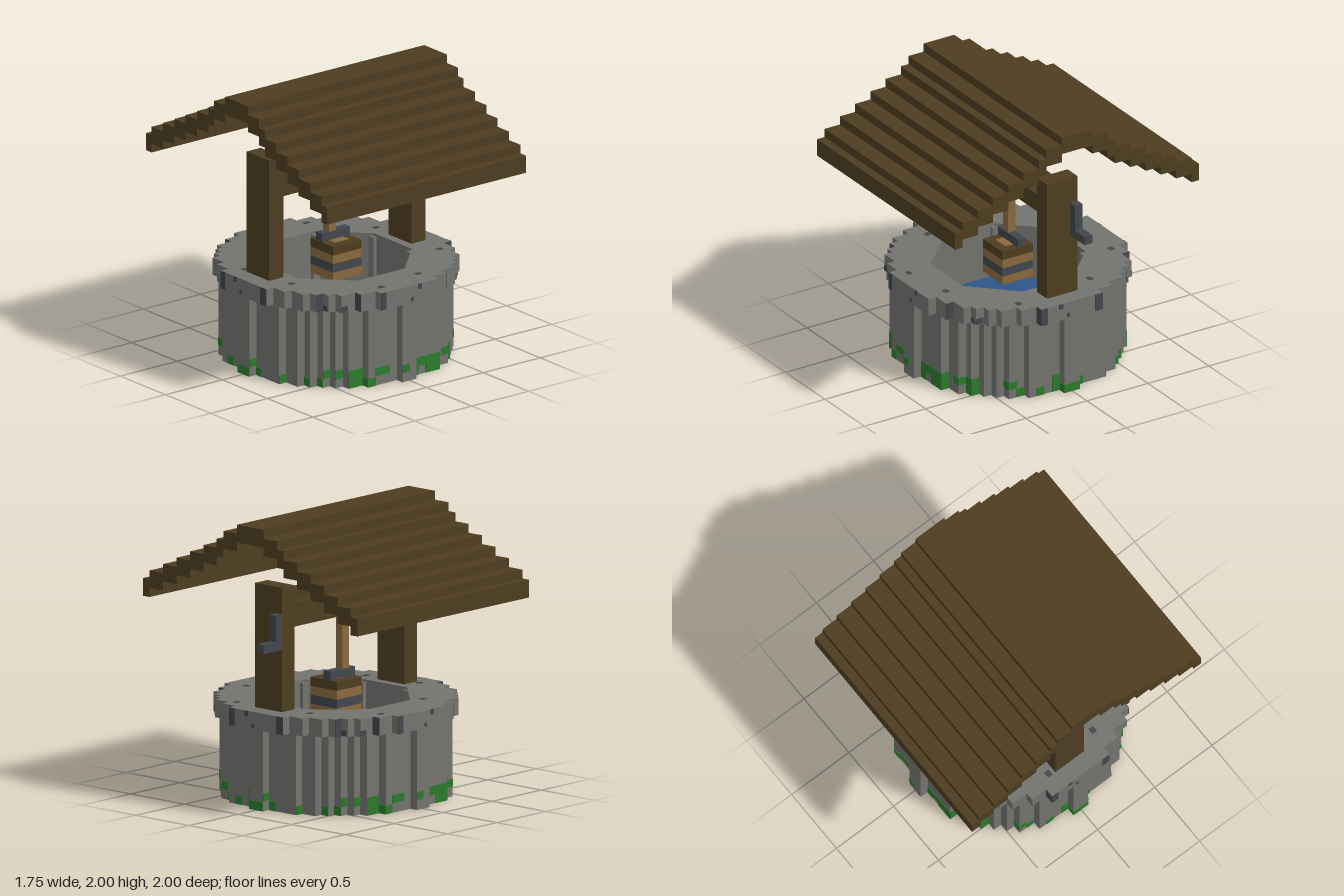
import * as THREE from 'three';

const U = 0.0625; // one block unit

const mat = (name, color) => {
  const m = new THREE.MeshStandardMaterial({ color });
  m.name = name;
  return m;
};

export function createModel() {
  const root = new THREE.Group();
  root.name = 'well';
  const wood = mat('darkWood', 0x4e3e21);
  const tan = mat('lightWood', 0x8a6a3e);
  const slate = mat('slate', 0x43474c);
  const stone = mat('stone', 0x73746f);
  const moss = mat('moss', 0x2c7a2c);
  const blue = mat('water', 0x2f5588);

  const group = (name) => {
    const g = new THREE.Group();
    g.name = name;
    root.add(g);
    return g;
  };
  // Box given by its ranges in block units
  const box = (parent, name, m, x0, x1, y0, y1, z0, z1) => {
    const mesh = new THREE.Mesh(new THREE.BoxGeometry((x1 - x0) * U, (y1 - y0) * U, (z1 - z0) * U), m);
    mesh.position.set((x0 + x1) * U / 2, (y0 + y1) * U / 2, (z0 + z1) * U / 2);
    mesh.name = name;
    parent.add(mesh);
    return mesh;
  };

  // How far a block circle reaches in the column starting at u
  const reach = (u, r2) => {
    const c = Math.floor(u) + 0.5;
    return Math.floor(Math.sqrt(r2 - c * c) + 0.5);
  };
  const WALL = 157, RIM = 169;

  // Octagonal opening, flat sides towards the axes
  const octagon = (apothem) => {
    const pts = [];
    for (let i = 0; i < 8; i++) {
      const a = (i + 0.5) * Math.PI / 4, r = apothem / Math.cos(Math.PI / 8);
      pts.push(new THREE.Vector2(Math.cos(a) * r * U, Math.sin(a) * r * U));
    }
    return pts;
  };
  const prism = (name, m, shape, y0, y1) => {
    const geo = new THREE.ExtrudeGeometry(shape, { depth: (y1 - y0) * U, bevelEnabled: false });
    geo.rotateX(-Math.PI / 2);
    const mesh = new THREE.Mesh(geo, m);
    mesh.position.y = y0 * U;
    mesh.name = name;
    root.add(mesh);
  };
  // Ring with a stepped outside
  const ring = (name, r2, y0, y1) => {
    const pts = [];
    const add = (x, y) => {
      const last = pts[pts.length - 1];
      if (!last || last.x !== x * U || last.y !== y * U) pts.push(new THREE.Vector2(x * U, y * U));
    };
    for (let u = -13; u < 13; u++) {
      add(u, -reach(u, r2));
      add(u + 1, -reach(u, r2));
    }
    for (let u = 12; u >= -13; u--) {
      add(u + 1, reach(u, r2));
      add(u, reach(u, r2));
    }
    const shape = new THREE.Shape(pts);
    shape.holes.push(new THREE.Path(octagon(8)));
    prism(name, stone, shape, y0, y1);
  };
  ring('wall', WALL, 0, 9);
  ring('rim', RIM, 9, 11);
  prism('water', blue, new THREE.Shape(octagon(8)), 0.03, 4.6);

  // Small posts in the inner corners
  const corners = group('innerPosts');
  octagon(8).forEach((p) => {
    const x = p.x / U, z = p.y / U;
    box(corners, 'innerPost', stone, x - 0.45, x + 0.45, 0.02, 10.7, z - 0.45, z + 0.45);
  });

  // Painted patches: [start, end, bottom, top] along each side
  const paint = (name, m, r2, turn, patches) => {
    const g = group(name);
    g.rotation.y = turn * Math.PI / 2;
    for (const [a, b, y0, y1] of patches) {
      for (let u = Math.floor(a); u < b; u++) {
        const d = reach(u, r2);
        box(g, 'patch', m, Math.max(a, u), Math.min(b, u + 1), y0, y1, d - 0.02, d + 0.06);
      }
    }
  };
  const mossFront = [[-13, -12, 1.1, 2], [-12, -11, 0, 1], [-9, -5, 1, 2], [-7, -4, 0, 1], [-4, -2, 1.1, 2],
    [-1, 0, 1.1, 2], [1, 5, 1, 2], [1, 2, 0, 1], [3, 5, 0, 1], [6, 8, 1.1, 2], [7, 8, 0, 1], [10, 11, 1.1, 2],
    [12, 13, 0, 1]];
  const mossRight = [[-12, -9, 1.1, 2], [-12, -11, 0, 1.1], [-10, -9, 0, 1.1], [-7, -6, 1.1, 2], [-6, -5, 0, 1],
    [-4, -3, 0, 1], [-2, -1, 0, 2], [-1, 2, 0, 1], [7, 9, 0, 1], [11, 12, 0, 1]];
  const slateFront = [[-10, -9, 9, 11], [-8, -7.1, 9.05, 9.7], [-4, -3.3, 9, 11], [0.2, 0.6, 9.2, 9.6],
    [1.2, 1.7, 10.4, 11], [8, 8.8, 9.1, 9.7], [12, 13, 9, 11]];
  const slateRight = [[-12, -11, 9, 11], [-10, -9.1, 9.1, 9.8], [-4, -3.2, 9, 11], [-1.7, -1.2, 10.4, 11],
    [-0.7, -0.3, 9.2, 9.7], [3, 4, 9, 11], [9, 9.8, 9.1, 9.7], [11, 12, 9, 11]];
  for (const t of [0, 1, 2, 3]) {
    paint('moss', moss, WALL, t, t % 2 ? mossRight : mossFront);
    paint('slateStones', slate, RIM, t, t % 2 ? slateRight : slateFront);
  }
  // Specks on top of the rim
  const specks = group('rimSpecks');
  for (const [x, z] of [[-10, 4], [-3, 11], [3, 10], [10, 5], [9, -5], [4, -11], [-5, -9], [-11, -3]])
    box(specks, 'speck', slate, x, x + 0.7, 10.98, 11.05, z, z + 0.6);

  // Posts and axle
  for (const s of [-1, 1]) box(root, 'post', wood, s * 10 - 1, s * 10 + 1, 11, 25, -2, 2);
  const axle = group('axle');
  box(axle, 'axleFlat', wood, -9, 9, 21, 23, -2, 2);
  box(axle, 'axleTall', wood, -9, 9, 20, 24, -1, 1);

  // Crank on the left post
  const crank = group('crank');
  box(crank, 'crankArm', slate, 11, 12, 18, 22, -2, -1);
  box(crank, 'crankHandle', slate, 12, 14, 18, 19, -2, -1);

  // Rope and bucket
  box(root, 'rope', tan, -1, 0, 14, 20, -1, 0);
  const bucket = group('bucket');
  box(bucket, 'bucketBottom', tan, -2, 2, 9, 10, -2, 2);
  box(bucket, 'bucketBand', slate, -2, 2, 10, 11, -2, 2);
  box(bucket, 'bucketSide', tan, -2, 2, 11, 12, -2, 2);
  box(bucket, 'bucketRim', wood, -2, 2, 12, 13, -2, 2);
  box(bucket, 'bucketLid', tan, -1, 1, 12.98, 13.06, -1, 1);
  box(bucket, 'bucketHandle', slate, -2, 2, 13, 14, -1, 0);

  // Stepped roof
  const roof = group('roof');
  box(roof, 'ridge', wood, -14, 14, 30, 32, -2, 2);
  const steps = [2, 4, 5, 7, 9, 11, 13, 15, 16];
  for (let i = 1; i < steps.length; i++) {
    const top = 32 - i;
    box(roof, 'roofPlank', wood, -14, 14, top - 2, top, steps[i - 1], steps[i]);
    box(roof, 'roofPlank', wood, -14, 14, top - 2, top, -steps[i], -steps[i - 1]);
  }
  return root;
}
